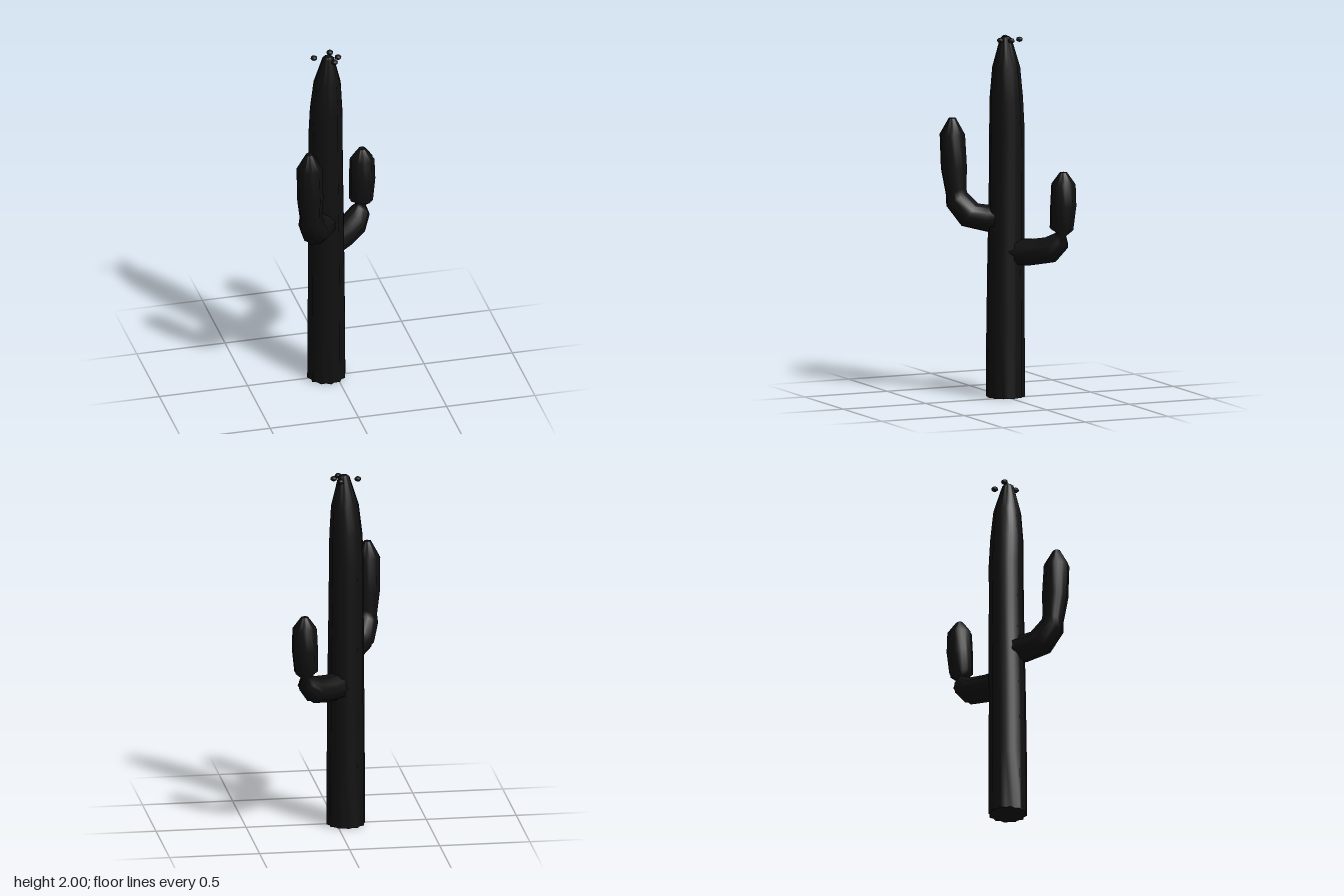
import * as THREE from 'three';

const material = new THREE.MeshStandardMaterial({ color: 0x101010 });
const UP = new THREE.Vector3(0, 1, 0);

// Skin a star-shaped (ribbed) section over rings { c: centre, u: side axis, t: direction, r: radius }
function ribbedStem(rings, ribs, phase) {
  const n = ribs * 2, pos = [], index = [];
  for (const { c, u, t, r } of rings) {
    const v = t.clone().cross(u);
    for (let j = 0; j < n; j++) {
      const a = phase + (j / n) * Math.PI * 2;
      const rad = r * (j % 2 ? 0.88 : 1);
      const p = c.clone().addScaledVector(u, rad * Math.cos(a)).addScaledVector(v, rad * Math.sin(a));
      pos.push(p.x, p.y, p.z);
    }
  }
  const last = rings.length - 1;
  for (let i = 0; i < last; i++) {
    for (let j = 0; j < n; j++) {
      const a = i * n + j, b = i * n + (j + 1) % n;
      index.push(a, b, a + n, b, b + n, a + n);
    }
  }
  // End caps with their own vertices
  for (const [k, flip] of [[0, true], [last, false]]) {
    const base = pos.length / 3;
    pos.push(...pos.slice(k * n * 3, (k + 1) * n * 3), ...rings[k].c.toArray());
    for (let j = 0; j < n; j++) {
      const a = base + j, b = base + (j + 1) % n;
      index.push(base + n, flip ? b : a, flip ? a : b);
    }
  }
  const geo = new THREE.BufferGeometry();
  geo.setAttribute('position', new THREE.Float32BufferAttribute(pos, 3));
  geo.setIndex(index);
  geo.computeVertexNormals();
  return geo;
}

// Arm growing out of the trunk in one vertical plane; rings are [distance, height, tilt in degrees, radius]
function armGeometry(dx, dz, steps) {
  const d = new THREE.Vector3(dx, 0, dz).normalize();
  const rings = steps.map(([s, y, tilt, r]) => {
    const a = THREE.MathUtils.degToRad(tilt);
    return {
      c: new THREE.Vector3(-0.05, y, -0.01).addScaledVector(d, s),
      u: UP.clone().multiplyScalar(Math.cos(a)).addScaledVector(d, -Math.sin(a)),
      t: d.clone().multiplyScalar(Math.cos(a)).addScaledVector(UP, Math.sin(a)),
      r,
    };
  });
  // Turn the section so that a rib of the upright part faces +z
  const side = UP.clone().cross(d.clone().negate());
  return ribbedStem(rings, 10, Math.atan2(side.z, -d.z));
}

export function createModel() {
  const model = new THREE.Group();
  const add = (name, geo) => {
    const mesh = new THREE.Mesh(geo, material);
    mesh.name = name;
    model.add(mesh);
    return mesh;
  };

  // Trunk: [height, radius, centre x, centre z]
  const trunk = [
    [0, 0.108, -0.052, -0.008], [0.35, 0.106, -0.052, -0.008], [0.7, 0.103, -0.052, -0.01],
    [1.05, 0.1, -0.052, -0.014], [1.3, 0.097, -0.053, -0.016], [1.5, 0.097, -0.054, -0.017],
    [1.66, 0.092, -0.052, -0.013], [1.83, 0.077, -0.047, -0.01], [1.99, 0.032, -0.042, -0.005],
    [2, 0.02, -0.042, -0.005],
  ].map(([y, r, x, z]) => ({ c: new THREE.Vector3(x, y, z), u: new THREE.Vector3(1, 0, 0), t: UP, r }));
  add('trunk', ribbedStem(trunk, 12, 0));

  // Tall arm on the front right
  add('rightArm', armGeometry(-0.16, 0.25, [
    [0, 0.985, 0, 0.075], [0.1, 0.987, 3, 0.076], [0.2, 1.005, 36, 0.079], [0.273, 1.09, 56, 0.07],
    [0.276, 1.135, 66, 0.062], [0.288, 1.26, 88, 0.073], [0.297, 1.45, 90, 0.071], [0.297, 1.54, 90, 0.02],
  ]));

  // Short arm on the back left, pinched at the elbow
  add('leftArm', armGeometry(0.26, -0.227, [
    [0, 0.805, 0, 0.075], [0.15, 0.81, 3, 0.076], [0.265, 0.83, 20, 0.075], [0.33, 0.885, 45, 0.055],
    [0.333, 0.922, 65, 0.028], [0.333, 0.95, 85, 0.066], [0.344, 1.08, 90, 0.073],
    [0.345, 1.2, 90, 0.068], [0.345, 1.265, 90, 0.02],
  ]));

  // Small buds around the tip
  for (const [x, z] of [[-0.115, -0.035], [-0.015, -0.075], [-0.017, 0.04], [0.015, -0.012]]) {
    const bud = add('bud', new THREE.SphereGeometry(0.019, 8, 6));
    bud.scale.y = 0.75;
    bud.position.set(x, 1.983, z);
  }
  return model;
}
